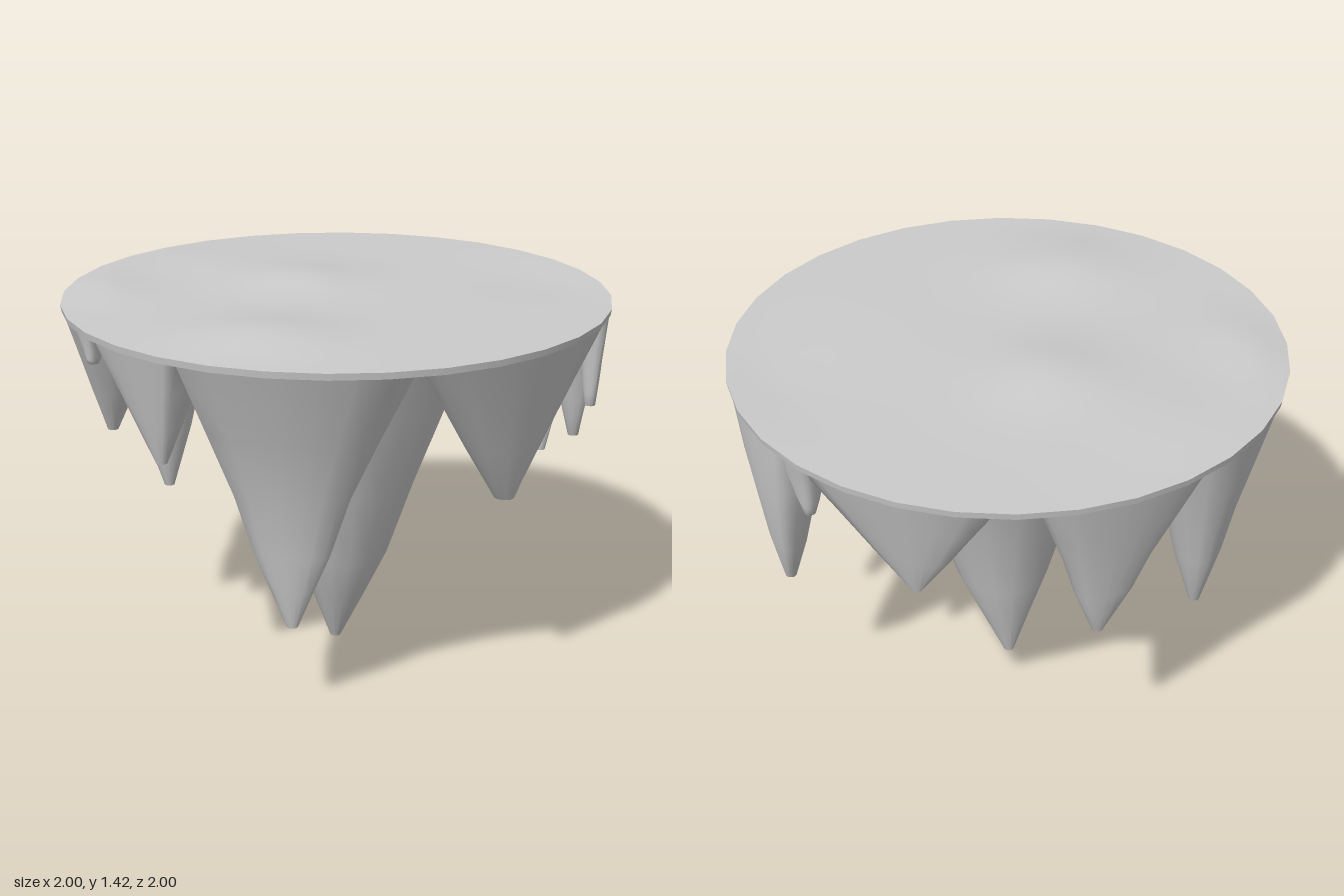
import * as THREE from 'three';
import { mergeVertices } from 'three/addons/utils/BufferGeometryUtils.js';

const TOP = 1.382, UNDER = 1.358;
const material = new THREE.MeshStandardMaterial({ color: 0xcccccc });

// Weld seams and smooth the normals
function smooth(geo) {
  geo.deleteAttribute('uv');
  geo.deleteAttribute('normal');
  const welded = mergeVertices(geo, 1e-5);
  welded.computeVertexNormals();
  return welded;
}

// [height share, spread share] from tip to root
const KINKED = [[0, 0], [0.14, 0.15], [0.28, 0.3], [0.5, 0.48], [0.74, 0.73], [1, 1]];
const CONE = [[0, 0], [0.35, 0.36], [0.7, 0.7], [1, 1]];

// Rock spike: its root circle is cut off by the slab's rim, and every side runs from there to the tip
function spike({ tip, root, r, blunt = 0.02, profile = KINKED, bend = [0, 0] }) {
  const [tx, ty, tz] = tip;
  const h = UNDER + 0.008 - ty;
  const sides = 16;
  const points = [new THREE.Vector2(0, 0),
    ...profile.map(([f]) => new THREE.Vector2(blunt, f * h))];
  const geo = new THREE.LatheGeometry(points, sides);
  const p = geo.attributes.position;
  for (let i = 0; i < p.count; i++) {
    const ring = i % points.length;
    if (ring === 0) {
      p.setXYZ(i, tx, ty, tz);
      continue;
    }
    const [f, s] = profile[ring - 1];
    const x = p.getX(i), z = p.getZ(i);
    const rootX = root[0] + x / blunt * r, rootZ = root[1] + z / blunt * r;
    const k = Math.min(1, 0.992 / Math.hypot(rootX, rootZ));
    const sway = Math.sin(Math.PI * f);
    p.setXYZ(i,
      THREE.MathUtils.lerp(tx + x, rootX * k, s) + bend[0] * sway,
      ty + f * h,
      THREE.MathUtils.lerp(tz + z, rootZ * k, s) + bend[1] * sway);
  }
  return new THREE.Mesh(smooth(geo), material);
}

const SPIKES = [
  { name: 'centralSpike', tip: [0, 0, -0.025], root: [0.0, 0.02], r: 0.54, bend: [0.02, 0.04] },
  { name: 'frontSpike', tip: [-0.26, 0.35, 0.62], root: [-0.27, 0.78], r: 0.41, bend: [0, -0.045] },
  { name: 'frontLeftSpike', tip: [0.49, 0.79, 0.62], root: [0.55, 0.68], r: 0.42, blunt: 0.036, profile: CONE },
  { name: 'backRightSpike', tip: [-0.6, 0.5, -0.47], root: [-0.62, -0.51], r: 0.29 },
  { name: 'rightSpike', tip: [-0.83, 0.9, -0.02], root: [-0.85, -0.02], r: 0.25, profile: CONE },
  { name: 'frontRightSpike', tip: [-0.69, 0.95, 0.52], root: [-0.74, 0.54], r: 0.23, profile: CONE },
  { name: 'backLeftSpike', tip: [0.47, 0.9, -0.68], root: [0.51, -0.7], r: 0.35, profile: CONE },
  { name: 'backSpike', tip: [-0.13, 0.72, -0.81], root: [-0.19, -0.82], r: 0.31 },
  { name: 'leftSpike', tip: [0.85, 0.66, -0.2], root: [0.88, -0.26], r: 0.24, bend: [0.015, -0.03] },
  { name: 'leftThinSpike', tip: [0.9, 0.81, 0.07], root: [0.9, 0.11], r: 0.16 },
  { name: 'leftSmallSpike', tip: [0.87, 1.02, 0.35], root: [0.9, 0.35], r: 0.09 },
  { name: 'backLeftSmallSpike', tip: [0.79, 1.13, -0.48], root: [0.81, -0.49], r: 0.1 },
  { name: 'rightSmallSpike', tip: [-0.9, 1.26, 0.33], root: [-0.92, 0.32], r: 0.08 },
];

// Gentle mounds on the ground: x, z, height, spread
const MOUNDS = [[-0.34, 0.53, 0.036, 0.16], [-0.1, -0.22, 0.034, 0.16],
  [-0.87, -0.2, 0.028, 0.14], [0.8, -0.05, -0.012, 0.2], [-0.45, -0.6, 0.015, 0.18]];

function groundHeight(x, z) {
  const fade = Math.min(1, Math.max(0, (1 - Math.hypot(x, z)) * 8));
  let y = 0;
  for (const [mx, mz, h, s] of MOUNDS) {
    y += h * Math.exp(-((x - mx) ** 2 + (z - mz) ** 2) / (2 * s * s));
  }
  return TOP + y * fade;
}

export function createModel() {
  const model = new THREE.Group();
  model.name = 'floatingIsland';
  const add = (name, mesh) => { mesh.name = name; model.add(mesh); };

  // Uneven ground surface
  const ground = new THREE.RingGeometry(0, 1, 32, 14).rotateX(-Math.PI / 2);
  const p = ground.attributes.position;
  for (let i = 0; i < p.count; i++) p.setY(i, groundHeight(p.getX(i), p.getZ(i)));
  add('ground', new THREE.Mesh(smooth(ground), material));

  // Thin rim band and underside
  const rim = new THREE.CylinderGeometry(1, 0.996, TOP - UNDER, 32, 1, true);
  rim.translate(0, (TOP + UNDER) / 2, 0);
  add('rim', new THREE.Mesh(rim, material));
  const underside = new THREE.CircleGeometry(0.996, 32).rotateX(Math.PI / 2).translate(0, UNDER, 0);
  add('underside', new THREE.Mesh(underside, material));

  // Hanging rock spikes
  for (const s of SPIKES) add(s.name, spike(s));
  return model;
}
